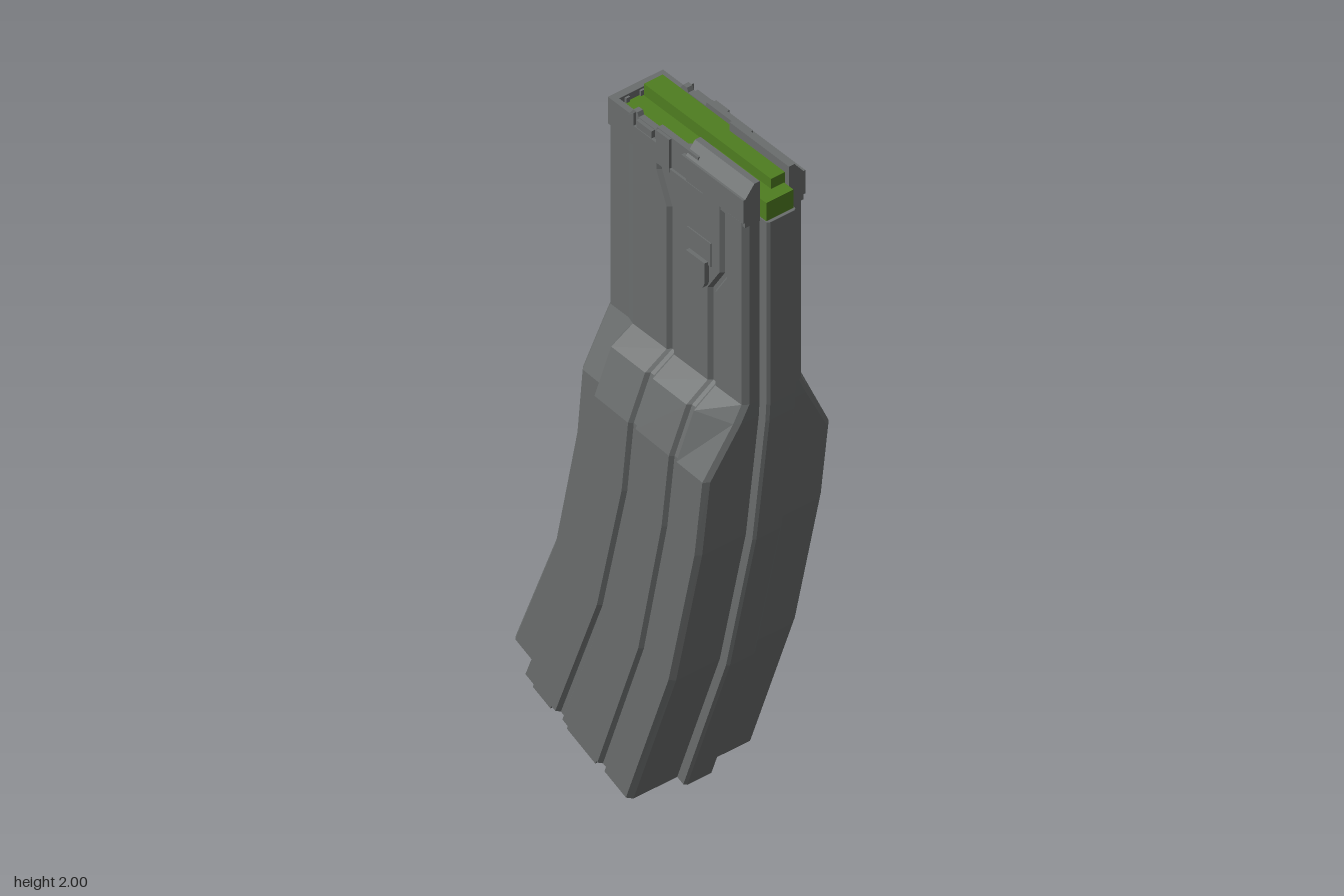
import * as THREE from 'three';

const steel = new THREE.MeshStandardMaterial({ color: 0x6a6d6d });
steel.name = 'grey steel';
const green = new THREE.MeshStandardMaterial({ color: 0x4f7d20 });
green.name = 'follower green';

// Half outline across the width: [fraction from rear to front, half depth]
function outline({ back, side, ribB, ribC, front = side }) {
  const g = 0.011;
  const groove = f => [[f - 0.025, side], [f - 0.01, side - g], [f + 0.012, side - g], [f + 0.027, side]];
  return [
    [0, 0], [0, back - 0.008], [0.015, back], [0.14, back], [0.185, side],
    ...groove(ribB), ...groove(ribC),
    [0.925, front], [0.945, front - 0.015], [0.945, 0.045], [0.99, 0.045], [1, 0.037], [1, 0],
  ];
}

// Skins the mirrored outlines of the stations, listed from bottom to top
function loft(stations) {
  const rings = stations.map(s => {
    const half = outline(s).map(([f, d]) => [
      THREE.MathUtils.lerp(s.rear[0], s.front2[0], f),
      THREE.MathUtils.lerp(s.rear[1], s.front2[1], f), d]);
    return [...half, ...half.slice().reverse().map(([x, y, z]) => [x, y, -z])];
  });
  const pos = [];
  const quad = (a, b, c, d) => pos.push(...a, ...b, ...c, ...a, ...c, ...d);
  const n = rings[0].length;
  for (let s = 0; s < rings.length - 1; s++) {
    for (let i = 0; i < n; i++) {
      const j = (i + 1) % n;
      quad(rings[s][i], rings[s][j], rings[s + 1][j], rings[s + 1][i]);
    }
  }
  const low = rings[0], top = rings[rings.length - 1];
  for (let i = 0; i < n / 2 - 1; i++) {
    quad(top[i], top[i + 1], top[n - 2 - i], top[n - 1 - i]);
    quad(low[n - 1 - i], low[n - 2 - i], low[i + 1], low[i]);
  }
  const geo = new THREE.BufferGeometry();
  geo.setAttribute('position', new THREE.Float32BufferAttribute(pos, 3));
  geo.computeVertexNormals();
  return geo;
}

const shapeOf = pts => new THREE.Shape(pts.map(p => new THREE.Vector2(...p)));

// Side-on plate from z0 to z1
function plate(pts, z0, z1) {
  const geo = new THREE.ExtrudeGeometry(shapeOf(pts), { depth: Math.abs(z1 - z0), bevelEnabled: false });
  return geo.translate(0, 0, Math.min(z0, z1));
}

function box(x0, x1, y0, y1, z0, z1) {
  return new THREE.BoxGeometry(x1 - x0, y1 - y0, z1 - z0)
    .translate((x0 + x1) / 2, (y0 + y1) / 2, (z0 + z1) / 2);
}

export function createModel() {
  const group = new THREE.Group();
  const add = (name, geo, mat = steel) => {
    const mesh = new THREE.Mesh(geo, mat);
    mesh.name = name;
    group.add(mesh);
    return mesh;
  };

  // Curved lower body, shoulder and straight neck
  const station = (rear, front2, back, side, ribB = 0.44, ribC = 0.72, front = side) =>
    ({ rear, front2, back, side, ribB, ribC, front });
  const neck = (y, ribB, ribC) => station([-0.142, y], [0.415, y], 0.084, 0.092, ribB, ribC);
  add('body', loft([
    station([-0.415, 0.2], [0.1, 0.003], 0.155, 0.195, 0.43, 0.74),
    station([-0.26, 0.585], [0.262, 0.46], 0.155, 0.195, 0.43, 0.73),
    station([-0.18, 0.96], [0.362, 0.9], 0.155, 0.195),
    station([-0.16, 1.165], [0.393, 1.14], 0.155, 0.195),
    station([-0.147, 1.3], [0.412, 1.29], 0.1, 0.155, 0.44, 0.72, 0.115),
    neck(1.34, 0.44, 0.72),
    neck(1.62, 0.44, 0.72),
    neck(1.69, 0.44, 0.8),
    neck(1.77, 0.44, 0.8),
    neck(1.86, 0.37, 0.8),
    neck(1.89, 0.37, 0.8),
  ]));

  // Raised strips across the floor
  const tilt = Math.atan2(-0.197, 0.515);
  for (const [f0, f1] of [[0.24, 0.37], [0.49, 0.7]]) {
    const f = (f0 + f1) / 2;
    const strip = add('floorStrip', new THREE.BoxGeometry((f1 - f0) * 0.551, 0.036, 0.38));
    strip.position.set(-0.415 + 0.515 * f, 0.2 - 0.197 * f, 0);
    strip.rotation.z = tilt;
  }

  // Rear wall of the opening, with small ridges
  add('rearWall', box(-0.142, -0.12, 1.88, 1.96, -0.08, 0.08));
  for (const z of [-0.045, 0, 0.045]) add('rearRidge', box(-0.122, -0.114, 1.9, 1.955, z - 0.006, z + 0.006));

  for (const s of [1, -1]) {
    // Thin side wall of the opening
    add('sideWall', plate([
      [-0.142, 1.88], [0.2, 1.88], [0.2, 1.98], [0.045, 1.98], [0.04, 1.968], [-0.025, 1.968],
      [-0.03, 1.98], [-0.045, 1.98], [-0.06, 1.96], [-0.142, 1.96],
    ], s * 0.068, s * 0.085));
    // Raised rim trim with gaps between its pieces
    add('rimTrim', plate([
      [-0.06, 1.88], [0.1, 1.88], [0.1, 1.978], [0.05, 1.978], [0.05, 1.94], [-0.035, 1.94], [-0.035, 1.978], [-0.06, 1.958],
    ], s * 0.08, s * 0.093));
    add('rimTab', box(-0.022, 0.036, 1.945, 1.966, Math.min(s * 0.08, s * 0.095), Math.max(s * 0.08, s * 0.095)));
    // Feed lip, sloped on its outer top edge
    const lip = new THREE.ExtrudeGeometry(shapeOf([
      [s * 0.045, 1.88], [s * 0.09, 1.88], [s * 0.09, 1.965], [s * 0.062, 2], [s * 0.045, 2],
    ]), { depth: 0.225, bevelEnabled: false });
    add('feedLip', lip.rotateY(Math.PI / 2).translate(0.16, 0, 0)).name = 'feedLip';
    // Slanted lead-in behind the lip
    const lead = new THREE.ExtrudeGeometry(shapeOf([
      [0.14, -s * 0.07], [0.162, -s * 0.045], [0.162, -s * 0.07],
    ]), { depth: 0.1, bevelEnabled: false });
    add('lipLeadIn', lead.rotateX(-Math.PI / 2).translate(0, 1.88, 0));
    // Band along the lip
    add('lipBand', plate([
      [0.15, 1.91], [0.23, 1.91], [0.23, 1.895], [0.385, 1.895], [0.385, 1.965], [0.15, 1.965],
    ], s * 0.085, s * 0.096));
  }

  // Catch on the front side: flat pad above a rounded button
  add('catchPad', box(0.17, 0.26, 1.69, 1.76, 0.085, 0.095));
  const button = new THREE.Shape();
  button.moveTo(0.18, 1.7);
  button.lineTo(0.18, 1.645);
  button.absarc(0.215, 1.645, 0.035, Math.PI, Math.PI * 2, false);
  button.lineTo(0.25, 1.7);
  add('catchButton', new THREE.ExtrudeGeometry(button, { depth: 0.025, bevelEnabled: false, curveSegments: 10 })
    .translate(0, 0, 0.081));

  // Green follower: wide rear, narrow nose, raised half
  add('followerRear', box(-0.12, 0.16, 1.885, 1.94, -0.068, 0.068), green);
  add('followerNose', box(0.155, 0.406, 1.885, 1.945, -0.042, 0.042), green);
  add('followerRidge', box(-0.112, 0.37, 1.92, 1.975, -0.06, -0.002), green);

  return group;
}
